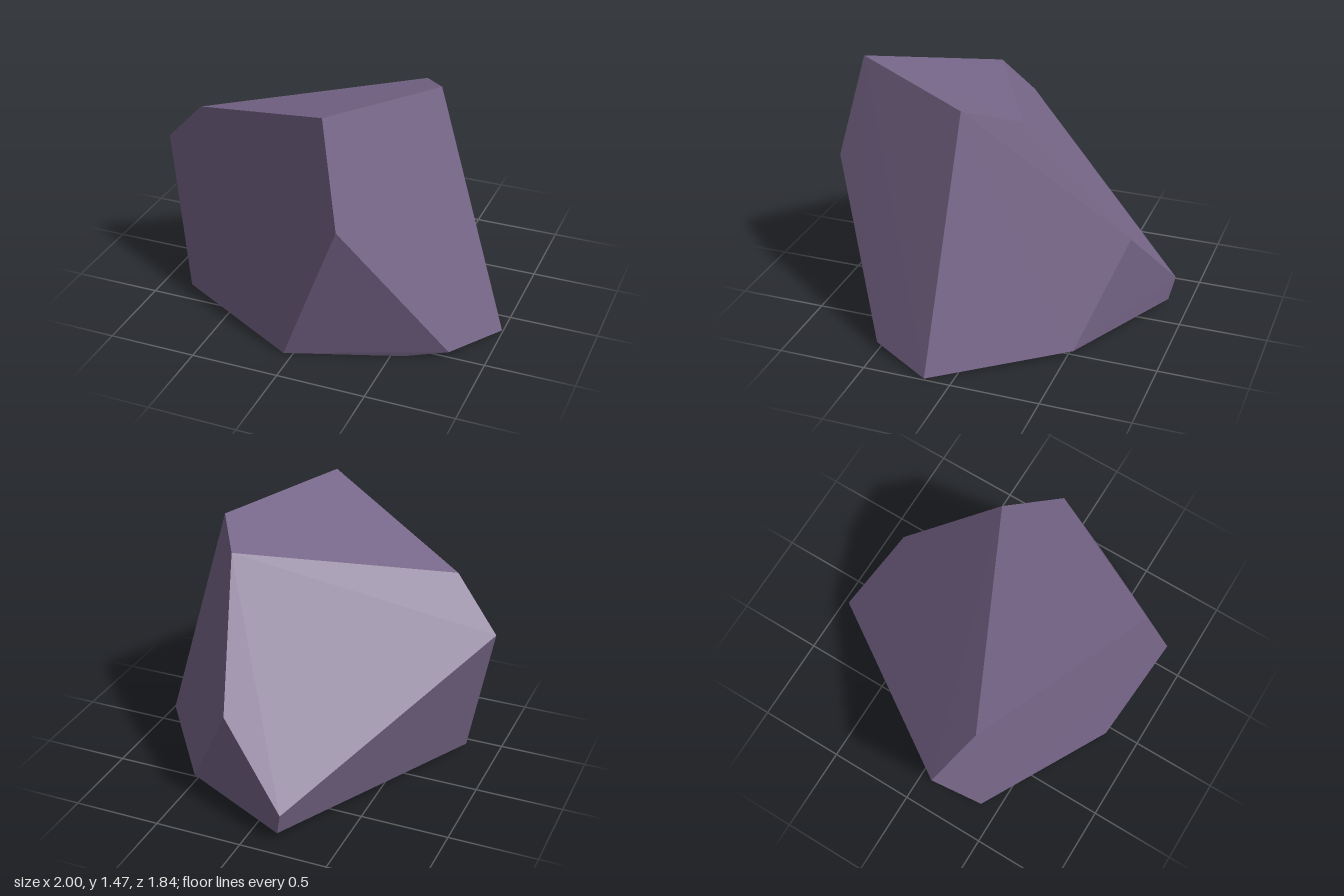
import * as THREE from 'three';
import { ConvexGeometry } from 'three/addons/geometries/ConvexGeometry.js';

// Corners of the faceted boulder, grouped by height
const top = [
  [0.19, 1.465, 0.80], [0.575, 1.395, 0.08], [0.40, 1.30, -0.20], [-0.73, 1.16, 0.33],
];
const middle = [
  [0.31, 0.90, 0.92], [-1.0, 0.88, 0.215], [0.20, 0.605, -0.75], [-0.20, 0.185, -0.92],
];
const base = [
  [-0.045, 0.01, 0.81], [0.57, 0, 0.58], [0.80, 0.04, 0.51], [0.995, 0.005, 0.15],
  [0.51, 0.03, -0.53], [-0.17, 0.05, -0.89], [-0.81, 0.03, 0.40],
];

export function createModel() {
  const stone = new THREE.MeshStandardMaterial({ color: 0x78678a, flatShading: true });
  stone.name = 'purple stone';

  // The flat facets are the convex hull of the corners
  const corners = [...top, ...middle, ...base].map((p) => new THREE.Vector3(...p));
  const boulder = new THREE.Mesh(new ConvexGeometry(corners), stone);
  boulder.name = 'boulder';

  const group = new THREE.Group();
  group.name = 'rock';
  group.add(boulder);
  return group;
}
